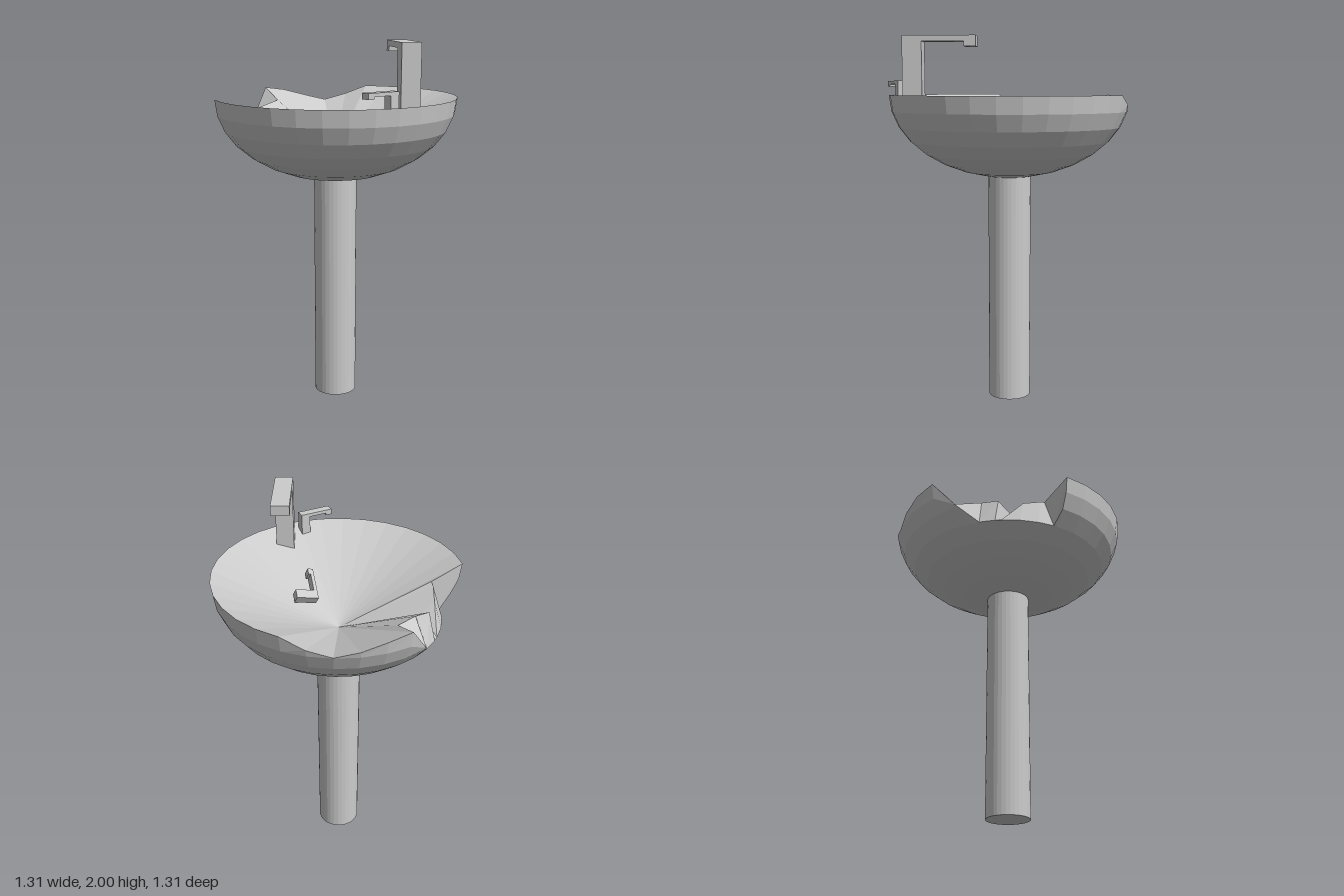
import * as THREE from 'three';

const material = new THREE.MeshStandardMaterial({ color: 0xcccccc, flatShading: true, side: THREE.DoubleSide });
const RADIUS = 0.653, RIM = 1.7, DEPTH = 0.45, SEGMENTS = 32, RINGS = 8;
const rad = THREE.MathUtils.degToRad;

// Chipped rim columns: step from the back (towards -x), angle below the rim, broken inner edge
const chips = [
  { step: -4, drop: 6.4 }, { step: -3, drop: 10.9 }, { step: -2, drop: 7 }, { step: -1, drop: 2.5 },
  { step: 0, drop: 0 },
  { step: 1, drop: 20, inner: [-0.03, 1.64, -0.49] },
  { step: 2, drop: 33.75, inner: [-0.17, 1.62, -0.44] },
  { step: 2.8, drop: 33.75, inner: [-0.27, 1.6, -0.42] },
  { step: 3.1, drop: 33.75, inner: [-0.3, 1.53, -0.32] },
  { step: 4, drop: 33.75, inner: [-0.37, 1.59, -0.33] },
  { step: 5, drop: 33.75, inner: [-0.42, 1.62, -0.25] },
  { step: 5.8, drop: 33.75, inner: [-0.43, 1.63, -0.22] },
  { step: 6, drop: 0 },
];

// Each column runs up the outer shell, across the edge and down the inner cone to the drain
function createBowl() {
  const columns = [...chips];
  for (let step = 7; step < SEGMENTS - 4; step++) columns.push({ step, drop: 0 });
  const positions = [], indices = [];
  for (const { step, drop, inner } of columns) {
    const phi = step * Math.PI * 2 / SEGMENTS;
    let p;
    for (let i = RINGS; i >= 0; i--) {
      const t = rad(Math.max(i * 90 / RINGS, drop));
      const r = RADIUS * Math.cos(t);
      p = [-r * Math.sin(phi), RIM - DEPTH * Math.sin(t), -r * Math.cos(phi)];
      positions.push(...p);
    }
    positions.push(...(inner || p), 0.01, 1.39, -0.02);
  }
  const rows = RINGS + 3;
  columns.forEach((_, c) => {
    const a = c * rows, b = ((c + 1) % columns.length) * rows;
    for (let i = 0; i < rows - 1; i++) {
      indices.push(a + i, b + i, b + i + 1, a + i, b + i + 1, a + i + 1);
    }
  });
  const geometry = new THREE.BufferGeometry();
  geometry.setAttribute('position', new THREE.Float32BufferAttribute(positions, 3));
  geometry.setIndex(indices);
  geometry.computeVertexNormals();
  return geometry;
}

// Hooked arm: post going down from the origin, bar along -x, small lip at the bar's end
function hookGeometry({ length, height, post, bar, lip, lipDrop, width }) {
  const shape = new THREE.Shape([
    [0, 0], [-length, 0], [-length, -lipDrop], [lip - length, -lipDrop],
    [lip - length, -bar], [-post, -bar], [-post, -height], [0, -height],
  ].map(([x, y]) => new THREE.Vector2(x, y)));
  return new THREE.ExtrudeGeometry(shape, { depth: width, bevelEnabled: false }).translate(0, 0, -width / 2);
}

export function createModel() {
  const group = new THREE.Group();
  const add = (name, geometry) => {
    const mesh = new THREE.Mesh(geometry, material);
    mesh.name = name;
    group.add(mesh);
    return mesh;
  };

  // Pedestal and broken basin
  add('pedestal', new THREE.CylinderGeometry(0.117, 0.117, 1.26, 32)).position.y = 0.63;
  add('basin', createBowl());

  // Faucet reaching diagonally over the basin
  const faucet = add('faucet', hookGeometry({
    length: 0.375, height: 0.38, post: 0.1, bar: 0.03, lip: 0.06, lipDrop: 0.055, width: 0.097,
  }));
  faucet.position.set(-0.025, 2, 0.6);
  faucet.rotation.y = Math.atan2(-0.845, -0.53);

  // One handle still standing
  const handleGeometry = hookGeometry({
    length: 0.185, height: 0.12, post: 0.05, bar: 0.018, lip: 0.035, lipDrop: 0.03, width: 0.048,
  });
  const handle = add('tapHandle', handleGeometry);
  handle.position.set(-0.105, 1.775, 0.58);
  handle.rotation.y = -0.07;

  // The other handle lying in the basin
  const fallen = add('fallenTapHandle', handleGeometry);
  const x = new THREE.Vector3(0.05, -0.08, -0.14).normalize();
  const y = new THREE.Vector3(-0.11, -0.03, -0.03);
  y.addScaledVector(x, -y.dot(x)).normalize();
  const z = new THREE.Vector3().crossVectors(x, y);
  fallen.quaternion.setFromRotationMatrix(new THREE.Matrix4().makeBasis(x, y, z));
  fallen.position.set(0.07, 1.51, 0.1);

  return group;
}
